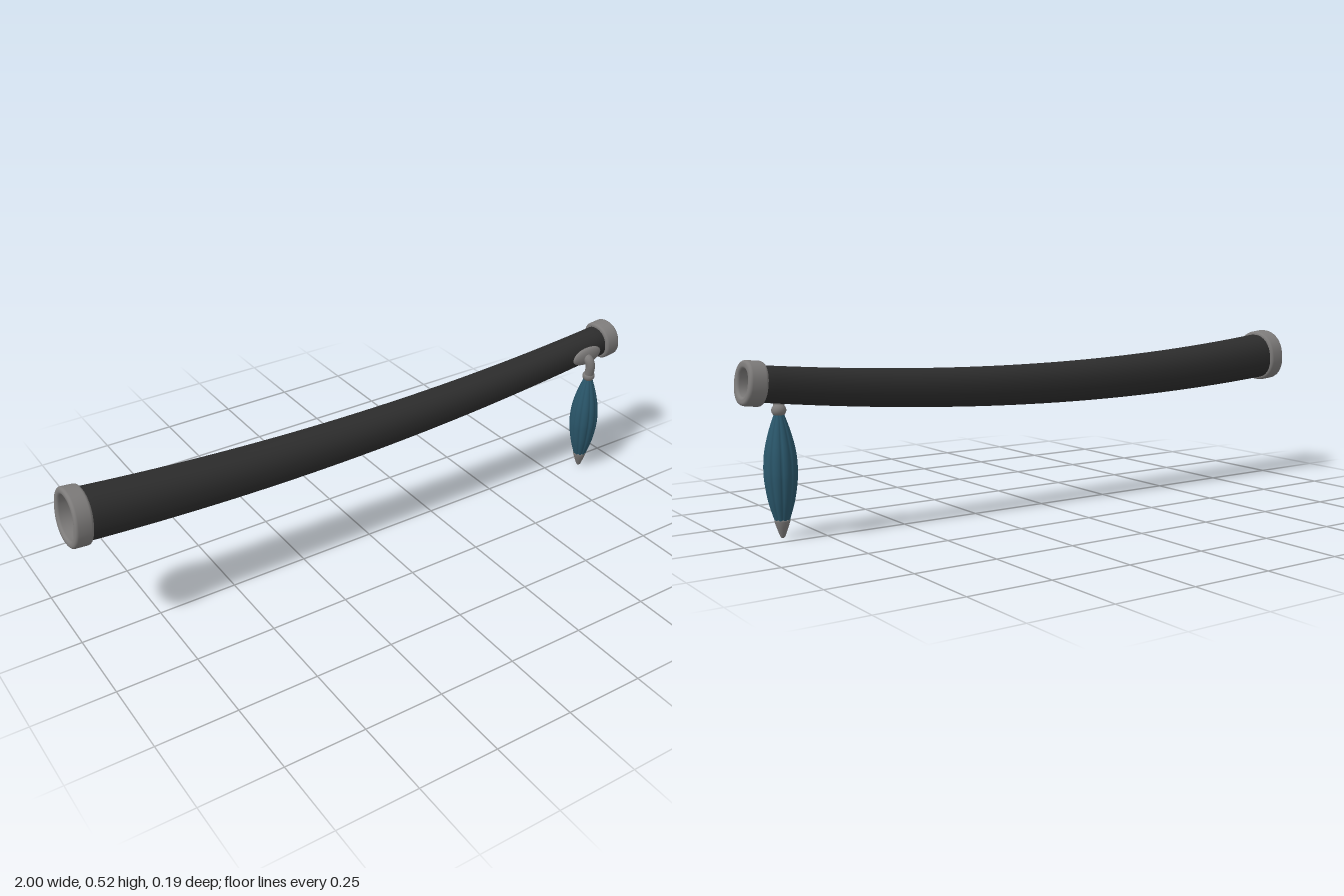
import * as THREE from 'three';

const metal = new THREE.MeshStandardMaterial({ color: 0x7d7b7a });
metal.name = 'grey metal';
const lacquer = new THREE.MeshStandardMaterial({ color: 0x2c2c2c });
lacquer.name = 'black lacquer';
const silk = new THREE.MeshStandardMaterial({ color: 0x2a566a });
silk.name = 'teal silk';

// Gently curved centre line and tapering half sizes of the sheath
const axisY = x => 0.39 + 0.012 * x + 0.055 * x * x;
const slope = x => 0.012 + 0.11 * x;
const halfY = x => 0.0635 - 0.0135 * x;
const halfZ = x => 0.0615 - 0.013 * x;
const axisZ = -0.008;

// Sweeps a closed [x, offset] profile round the curved centre line
function sleeve(profile, sides = 48) {
  const pos = [], index = [], n = profile.length;
  const round = v => Math.sign(v) * Math.pow(Math.abs(v), 0.9);
  for (const [x, off] of profile) {
    const tilt = Math.atan(slope(x));
    for (let j = 0; j < sides; j++) {
      const a = (j / sides) * Math.PI * 2;
      const up = (halfY(x) + off) * round(Math.sin(a));
      const side = (halfZ(x) + off) * round(Math.cos(a));
      pos.push(x - up * Math.sin(tilt), axisY(x) + up * Math.cos(tilt), axisZ + side);
    }
  }
  for (let i = 0; i < n; i++) {
    for (let j = 0; j < sides; j++) {
      const i2 = (i + 1) % n, j2 = (j + 1) % sides;
      const a = i * sides + j, b = i2 * sides + j, c = i2 * sides + j2, d = i * sides + j2;
      index.push(a, b, c, a, c, d);
    }
  }
  const g = new THREE.BufferGeometry();
  g.setAttribute('position', new THREE.Float32BufferAttribute(pos, 3));
  g.setIndex(index);
  g.computeVertexNormals();
  return g;
}

// Rounded-rectangle profile for an end collar
function collarProfile(x0, x1, inner, outer) {
  const pts = [], r = 0.009;
  const corners = [[x0 + r, outer - r, Math.PI], [x1 - r, outer - r, Math.PI / 2],
    [x1 - r, inner + r, 0], [x0 + r, inner + r, -Math.PI / 2]];
  for (const [cx, cy, start] of corners) {
    for (let k = 0; k <= 4; k++) {
      const a = start - (k / 4) * Math.PI / 2;
      pts.push([cx + r * Math.cos(a), cy + r * Math.sin(a)]);
    }
  }
  return pts;
}

export function createModel() {
  const model = new THREE.Group();
  const add = (name, geometry, material, x = 0, y = 0, z = 0, parent = model) => {
    const mesh = new THREE.Mesh(geometry, material);
    mesh.name = name;
    mesh.position.set(x, y, z);
    parent.add(mesh);
    return mesh;
  };

  // Hollow sheath: outer wall one way, inner wall back
  const wall = [], steps = 32, from = -0.975, to = 0.975;
  for (let i = 0; i <= steps; i++) wall.push([from + (to - from) * i / steps, 0]);
  for (let i = steps; i >= 0; i--) wall.push([from + (to - from) * i / steps, -0.01]);
  add('sheath', sleeve(wall), lacquer);

  // End collars
  add('wideCollar', sleeve(collarProfile(-0.992, -0.937, -0.012, 0.01)), metal);
  add('narrowCollar', sleeve(collarProfile(0.94, 0.994, -0.012, 0.012)), metal);

  // Oval mount on the front of the sheath
  const mount = add('ovalMount', new THREE.SphereGeometry(1, 32, 16), metal, 0.857, 0.437, 0.042);
  mount.scale.set(0.06, 0.03, 0.014);
  mount.rotation.z = 0.08;

  // Hanging ornament
  const pendant = new THREE.Group();
  pendant.name = 'pendant';
  model.add(pendant);

  const hook = new THREE.CatmullRomCurve3([
    new THREE.Vector3(0.85, 0.435, 0.04), new THREE.Vector3(0.852, 0.43, 0.057),
    new THREE.Vector3(0.857, 0.41, 0.064), new THREE.Vector3(0.862, 0.365, 0.056)]);
  add('hook', new THREE.TubeGeometry(hook, 20, 0.016, 14), metal, 0, 0, 0, pendant);
  const bead = add('bead', new THREE.SphereGeometry(0.021, 20, 14), metal, 0.863, 0.365, 0.055, pendant);
  bead.scale.y = 0.9;

  // Fluted spindle tassel
  const profile = new THREE.SplineCurve([[0.021, 0.05], [0.037, 0.105], [0.046, 0.16], [0.048, 0.2],
    [0.044, 0.25], [0.031, 0.305], [0.015, 0.352]].map(p => new THREE.Vector2(...p))).getPoints(28);
  const tassel = new THREE.LatheGeometry(profile, 80);
  const p = tassel.attributes.position;
  for (let i = 0; i < p.count; i++) {
    const x = p.getX(i), y = p.getY(i), z = p.getZ(i);
    const lobe = Math.abs(Math.cos(5 * Math.atan2(x, z)));
    const t = (y - 0.05) / 0.302;
    const k = 0.9 + 0.1 * Math.pow(lobe, 0.6);
    const lean = 0.006 * t;
    p.setXYZ(i, x * k - 0.002 * t, y, z * k + lean);
  }
  tassel.computeVertexNormals();
  add('tassel', tassel, silk, 0.866, 0, 0.047, pendant);

  // Pointed metal tip
  const tip = [[0, 0], [0.004, 0.001], [0.008, 0.007], [0.017, 0.032], [0.0225, 0.05],
    [0.0215, 0.055], [0, 0.056]].map(q => new THREE.Vector2(...q));
  add('tip', new THREE.LatheGeometry(tip, 24), metal, 0.866, 0, 0.047, pendant);

  return model;
}
